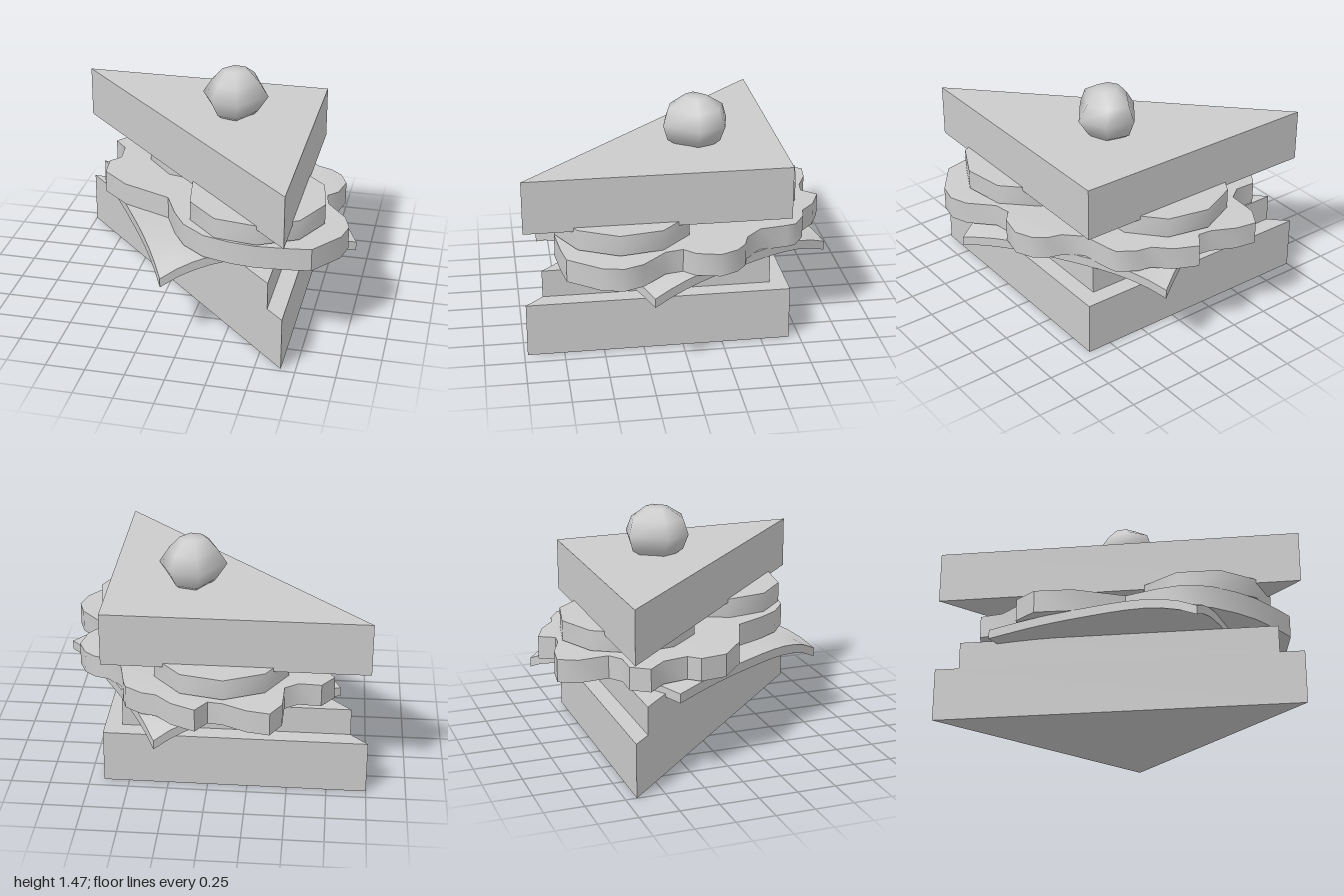
import * as THREE from 'three';
import { toCreasedNormals } from 'three/addons/utils/BufferGeometryUtils.js';

const material = new THREE.MeshStandardMaterial({ color: 0xcccccc });

function addMesh(group, name, geometry) {
  const mesh = new THREE.Mesh(geometry, material);
  mesh.name = name;
  group.add(mesh);
  return mesh;
}

// Horizontal slab: outline given as [x, z] pairs, raised from y0 to y1
function slab(outline, y0, y1) {
  const shape = new THREE.Shape(outline.map(([x, z]) => new THREE.Vector2(x, -z)));
  const geometry = new THREE.ExtrudeGeometry(shape, { depth: y1 - y0, bevelEnabled: false });
  geometry.rotateX(-Math.PI / 2);
  geometry.translate(0, y0, 0);
  return geometry;
}

// Right-angled triangle, inset along its two straight sides
function triangle(inset) {
  const x = 0.66 - inset, z = -0.68 + inset;
  return [[-1 + inset, z], [x, z], [x, 0.98 - inset]];
}

// Square slice whose corners hang down by individual amounts
function drapedSlice() {
  // x, z, drop at each corner
  const frontLeft = [-0.12, 0.87, 0.115], frontRight = [1.0, 0.22, 0.07];
  const backRight = [0.3, -0.98, 0.1], backLeft = [-0.82, -0.34, 0.035];
  const geometry = new THREE.BoxGeometry(2, 0.06, 2, 12, 1, 12);
  const p = geometry.attributes.position;
  for (let i = 0; i < p.count; i++) {
    const u = p.getX(i), v = p.getZ(i);
    const s = (1 + u) / 2, t = (1 + v) / 2;
    const blend = (k) => t * ((1 - s) * frontLeft[k] + s * frontRight[k])
      + (1 - t) * ((1 - s) * backLeft[k] + s * backRight[k]);
    const drop = blend(2) * Math.pow(Math.abs(u * v), 3);
    p.setXYZ(i, blend(0), 0.555 + p.getY(i) - drop, blend(1));
  }
  geometry.computeVertexNormals();
  return geometry;
}

// Faceted olive: a six-sided equator scaled into rings, closed at both ends
function oliveGeometry() {
  const equator = [[-0.215, 0], [-0.125, 0.17], [0.055, 0.21],
    [0.215, 0], [0.135, -0.17], [-0.055, -0.21]];
  // y, x scale, z scale
  const rings = [[-0.17, 0.4, 0.34], [-0.1, 0.7, 0.86], [0, 1, 1], [0.1, 0.7, 0.86], [0.17, 0.4, 0.34]];
  const n = equator.length, positions = [], index = [];
  for (const [y, sx, sz] of rings)
    for (const [x, z] of equator) positions.push(x * sx, y, z * sz);
  const bottom = n * rings.length, top = bottom + 1;
  positions.push(0, -0.172, 0, 0, 0.172, 0);
  for (let j = 0; j < n; j++) {
    const k = (j + 1) % n, last = n * (rings.length - 1);
    for (let r = 0; r < rings.length - 1; r++) {
      const a = r * n + j, b = r * n + k;
      index.push(a, b, b + n, a, b + n, a + n);
    }
    index.push(bottom, k, j, top, last + j, last + k);
  }
  const geometry = new THREE.BufferGeometry();
  geometry.setAttribute('position', new THREE.Float32BufferAttribute(positions, 3));
  geometry.setIndex(index);
  geometry.computeVertexNormals();
  return geometry;
}

export function createModel() {
  const group = new THREE.Group();
  group.name = 'sandwich';

  // Bread and the slightly smaller ham layer
  addMesh(group, 'bottomBread', slab(triangle(0), 0, 0.345));
  addMesh(group, 'ham', slab(triangle(0.11), 0.345, 0.523));
  addMesh(group, 'topBread', slab(triangle(0), 0.83, 1.17));

  addMesh(group, 'cheese', drapedSlice());

  // Lettuce leaf with a wavy rim that sinks a little at its far points
  const leaf = [
    [-0.69, -0.4], [-0.67, -0.24], [-0.73, -0.17], [-0.71, 0], [-0.53, 0.16],
    [-0.21, 0.29], [-0.12, 0.48], [-0.03, 0.62], [0.12, 0.73], [0.3, 0.77],
    [0.45, 0.78], [0.66, 0.755], [0.79, 0.73], [0.94, 0.53], [0.97, 0.4],
    [0.93, 0.28], [0.8, 0.13], [0.78, 0.02], [0.84, -0.05], [0.87, -0.2],
    [0.82, -0.31], [0.75, -0.37], [0.66, -0.4], [0.56, -0.5], [0.52, -0.68],
    [0.5, -0.74], [0.39, -0.81], [0.3, -0.83], [0.2, -0.92], [0.05, -0.985],
    [-0.02, -0.89], [-0.11, -0.9], [-0.26, -0.965], [-0.4, -0.985],
    [-0.47, -0.87], [-0.475, -0.68], [-0.56, -0.62], [-0.7, -0.62], [-0.78, -0.51],
  ];
  const lettuce = slab(leaf, 0.583, 0.73);
  const p = lettuce.attributes.position;
  for (let i = 0; i < p.count; i++) {
    const reach = Math.hypot(p.getX(i), p.getZ(i));
    p.setY(i, p.getY(i) - 0.05 * Math.max(0, reach - 0.65));
  }
  addMesh(group, 'lettuce', toCreasedNormals(lettuce, 0.7));

  // Two tomato slices side by side
  for (const [x, z, turn] of [[0.385, 0.345, 0.17], [-0.065, -0.43, 0.1]]) {
    const slice = new THREE.CylinderGeometry(0.44, 0.44, 0.13, 10);
    slice.rotateY(turn);
    const tomato = addMesh(group, 'tomatoSlice', toCreasedNormals(slice, 0.7));
    tomato.position.set(x, 0.79, z);
  }

  // Olive resting on top, slightly sunk into the bread
  addMesh(group, 'olive', oliveGeometry()).position.set(0.135, 1.3, -0.15);

  return group;
}
